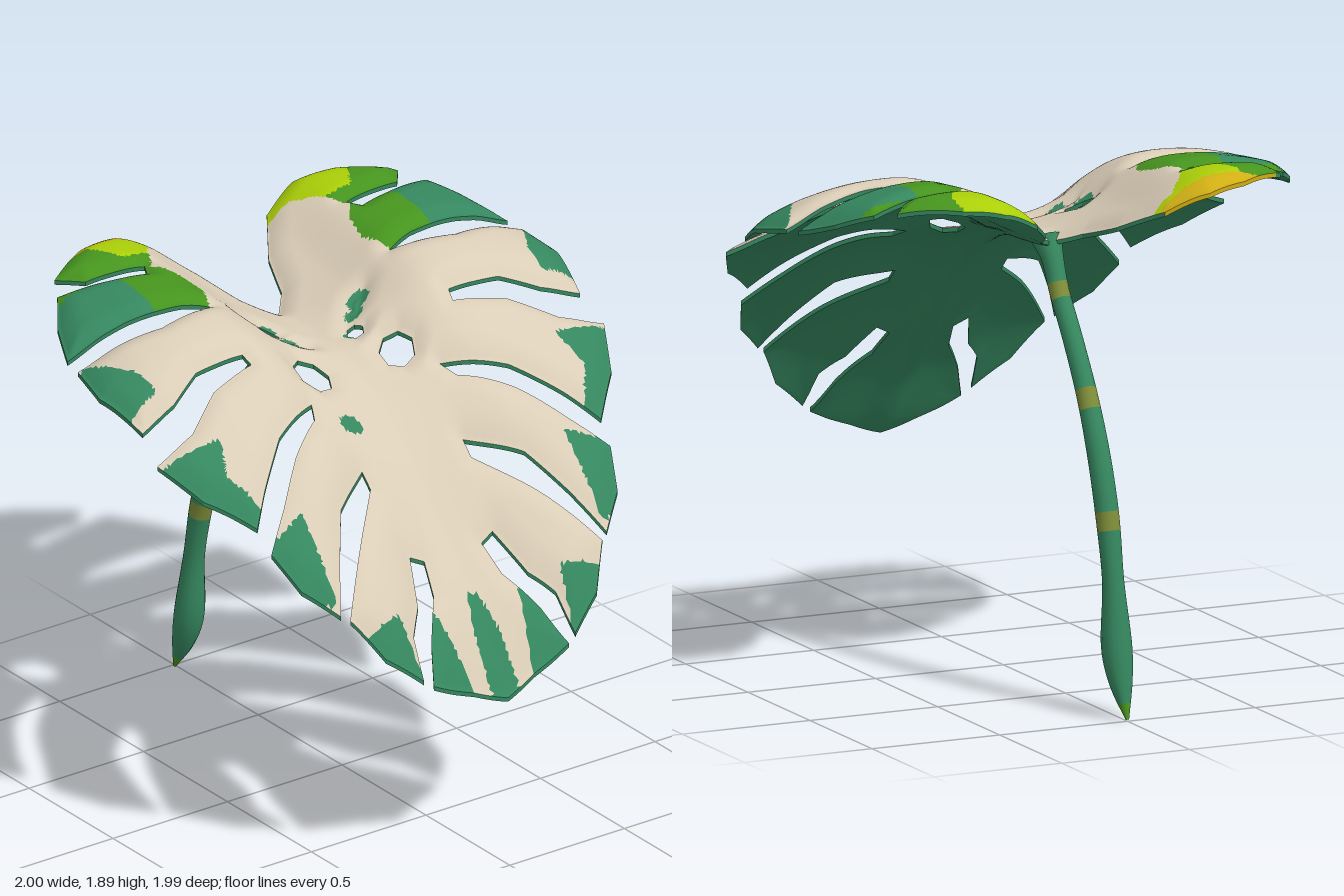
import * as THREE from 'three';

const mat = (name, color) => {
  const m = new THREE.MeshStandardMaterial({ color });
  m.name = name;
  return m;
};

// Half of the leaf outline in (x, z), from the stem notch round to the tip
const HALF = [
  [0, -0.38], [0.08, -0.47], [0.14, -0.63], [0.25, -0.79], [0.4, -0.845], [0.55, -0.81], [0.75, -0.69], [0.68, -0.6], [0.44, -0.575],
  [0.47, -0.52], [0.61, -0.55], [0.8, -0.605], [0.89, -0.48], [0.96, -0.325], [0.72, -0.31], [0.5, -0.28], [0.39, -0.25],
  [0.45, -0.23], [0.64, -0.2], [0.77, -0.225], [0.97, -0.25], [1, -0.08], [0.955, 0.115], [0.8, 0.09], [0.66, 0.03], [0.45, 0.02],
  [0.44, 0.06], [0.64, 0.11], [0.8, 0.2], [0.975, 0.23], [0.89, 0.39], [0.75, 0.52], [0.66, 0.44], [0.5, 0.31], [0.28, 0.2],
  [0.31, 0.26], [0.48, 0.38], [0.62, 0.5], [0.74, 0.59], [0.69, 0.7], [0.58, 0.785], [0.5, 0.67], [0.4, 0.54], [0.22, 0.42],
  [0.22, 0.47], [0.34, 0.59], [0.45, 0.7], [0.55, 0.8], [0.46, 0.89], [0.33, 0.94], [0.31, 0.85], [0.24, 0.78], [0.18, 0.65],
  [0.125, 0.66], [0.15, 0.75], [0.24, 0.86], [0.295, 0.95], [0.13, 0.965], [0, 0.99],
];
const v2 = ([x, z]) => new THREE.Vector2(x, z);
const ring = (x, z, r, n) => Array.from({ length: n }, (_, i) =>
  new THREE.Vector2(x + r * Math.cos((i / n) * Math.PI * 2), z + r * Math.sin((i / n) * Math.PI * 2)));

const contour = [...HALF, ...HALF.slice(1, -1).reverse().map(([x, z]) => [-x, z])].map(v2);
const holes = [
  ring(-0.18, 0.07, 0.07, 7), ring(0.185, 0.075, 0.065, 7), ring(0.12, -0.085, 0.032, 6),
  [[-0.25, -0.23], [-0.19, -0.235], [-0.15, -0.17], [-0.17, -0.15], [-0.22, -0.18]].map(v2),
  [[-0.21, -0.14], [-0.12, -0.115], [-0.08, -0.085], [-0.13, -0.09]].map(v2),
  [[0.25, -0.21], [0.19, -0.2], [0.13, -0.14], [0.17, -0.145]].map(v2),
];
if (THREE.ShapeUtils.isClockWise(contour)) contour.reverse();
for (const h of holes) if (!THREE.ShapeUtils.isClockWise(h)) h.reverse();
const loops = [contour, ...holes];

// Smooth interpolation of evenly spaced samples
function sample(list, t) {
  const last = list.length - 1;
  const c = Math.min(Math.max(t, 0), last), i = Math.min(Math.floor(c), last - 1), f = c - i;
  const at = (k) => list[Math.min(Math.max(k, 0), last)];
  const m0 = (at(i + 1) - at(i - 1)) / 2, m1 = (at(i + 2) - at(i)) / 2, d = at(i + 1) - at(i);
  return at(i) + f * (m0 + f * (3 * d - 2 * m0 - m1 + f * (m0 + m1 - 2 * d)));
}
const RIB = [1.74, 1.72, 1.67, 1.64, 1.63, 1.61, 1.52, 1.37, 1.16, 0.94, 0.675];
const ARCH = [0.11, 0.22, 0.22, 0.135, 0.14, 0.11];
const ACROSS = [0, 0.35, 0.92, 1, 0.83, 0.48];

function edgeDistance(x, z) {
  let best = 1;
  for (const loop of loops) {
    for (let i = 0; i < loop.length; i++) {
      const a = loop[i], b = loop[(i + 1) % loop.length];
      const dx = b.x - a.x, dz = b.y - a.y;
      const t = Math.min(1, Math.max(0, ((x - a.x) * dx + (z - a.y) * dz) / (dx * dx + dz * dz)));
      best = Math.min(best, (x - a.x - t * dx) ** 2 + (z - a.y - t * dz) ** 2);
    }
  }
  return Math.sqrt(best);
}
// Upper and lower surfaces: arched halves, edges curling down and thinning, thicker midrib
const curl = (x, z) => Math.max(0, 1 - edgeDistance(x, z) / 0.08) ** 2;
const crown = (x, z) => sample(RIB, (z + 1) * 5) + sample(ARCH, (z + 1) * 2.5) * sample(ACROSS, Math.abs(x) * 5);
const topY = (x, z) => crown(x, z) - 0.028 * curl(x, z);
const bottomY = (x, z) => {
  const c = curl(x, z);
  return crown(x, z) - 0.028 * c - 0.016 - (1 - c) * (0.016 + 0.025 * Math.exp(-((x / 0.07) ** 2)));
};

function inside(poly, x, z) {
  let hit = false;
  for (let i = 0, j = poly.length - 1; i < poly.length; j = i++) {
    const [ax, az] = poly[i], [bx, bz] = poly[j];
    if (az > z !== bz > z && x < ((bx - ax) * (z - az)) / (bz - az) + ax) hit = !hit;
  }
  return hit;
}
// Green patches at the lobe tips, mirrored
const TIPS = [
  [[1.02, -0.25], [0.95, -0.23], [0.85, -0.05], [0.84, 0.04], [1.02, 0.07]],
  [[0.97, 0.25], [0.73, 0.27], [0.78, 0.38], [0.7, 0.49], [0.75, 0.56], [1.05, 0.4]],
  [[0.57, 0.54], [0.66, 0.56], [0.76, 0.57], [0.74, 0.7], [0.58, 0.77]],
  [[0.52, 0.85], [0.35, 0.82], [0.32, 0.96], [0.48, 0.94]],
  [[0.19, 0.77], [0.12, 0.99], [0.33, 0.98], [0.26, 0.84]],
  [[-0.06, 1], [-0.05, 0.85], [-0.02, 0.77], [0.02, 0.77], [0.05, 0.85], [0.06, 1]],
];
// Green spots around the small slits: x, z, radius
const SPOTS = [[-0.17, 0.29, 0.042], [-0.2, -0.2, 0.05], [-0.15, -0.11, 0.035], [0.21, -0.19, 0.042], [0.16, -0.15, 0.035], [0.1, -0.08, 0.03]];
const BACK_LOBE = [[0.15, -0.75], [0.3, -0.74], [0.37, -0.66], [0.42, -0.56], [0.9, -0.56], [0.9, -0.9], [0.15, -0.9]];
const LIME_PART = [[0.15, -0.75], [0.38, -0.63], [0.5, -0.63], [0.56, -0.74], [0.53, -0.9], [0.15, -0.9]];
const SECOND_LOBE = [[0.44, -0.56], [0.38, -0.47], [0.35, -0.36], [0.4, -0.24], [0.6, -0.27], [1, -0.3], [1, -0.65], [0.6, -0.57]];

function topColour(x, z) {
  const ax = Math.abs(x);
  if (inside(BACK_LOBE, ax, z)) {
    if (x < 0 && z < -0.765 && ax < 0.62) return 'gold';
    return inside(LIME_PART, ax, z) ? 'lime' : 'leafGreen';
  }
  if (inside(SECOND_LOBE, ax, z)) return ax < 0.6 ? 'leafGreen' : 'green';
  if (SPOTS.some(([sx, sz, r]) => Math.hypot(x - sx, (z - sz) * 1.3) < r)) return 'green';
  return TIPS.some((p) => inside(p, ax, z)) ? 'green' : 'cream';
}
function bottomColour(x, z) {
  if (x > -0.3 || z > -0.62) return 'green';
  return z < -0.68 ? 'lime' : 'leafGreen';
}

// Bisect the longest edge until every edge is short
const STEP = 0.02;
function refine(a, b, c, out) {
  const ab = a.distanceTo(b), bc = b.distanceTo(c), ca = c.distanceTo(a), m = Math.max(ab, bc, ca);
  if (m <= STEP) {
    out.push([a, b, c]);
    return;
  }
  const [p, q, r] = m === ab ? [a, b, c] : m === bc ? [b, c, a] : [c, a, b];
  const mid = p.clone().add(q).multiplyScalar(0.5);
  refine(p, mid, r, out);
  refine(mid, q, r, out);
}

function buildMesh(name, material, positions, { normals, index }) {
  const g = new THREE.BufferGeometry();
  g.setAttribute('position', new THREE.Float32BufferAttribute(positions, 3));
  if (index) g.setIndex(index);
  if (normals) g.setAttribute('normal', new THREE.Float32BufferAttribute(normals, 3));
  else g.computeVertexNormals();
  const mesh = new THREE.Mesh(g, material);
  mesh.name = name;
  return mesh;
}

// One leaf surface, split into a mesh per colour
function leafSurface(name, tris, height, colourAt, up, mats) {
  const parts = {}, e = 0.012;
  for (const t of tris) {
    const key = colourAt((t[0].x + t[1].x + t[2].x) / 3, (t[0].y + t[1].y + t[2].y) / 3);
    const part = (parts[key] ??= { pos: [], nor: [] });
    for (const p of up ? t : [t[0], t[2], t[1]]) {
      const { x, y: z } = p;
      const n = new THREE.Vector3(height(x - e, z) - height(x + e, z), 2 * e, height(x, z - e) - height(x, z + e));
      n.normalize().multiplyScalar(up ? 1 : -1);
      part.pos.push(x, height(x, z), z);
      part.nor.push(n.x, n.y, n.z);
    }
  }
  return Object.entries(parts).map(([k, p]) => buildMesh(`${name} ${k}`, mats[k], p.pos, { normals: p.nor }));
}

// Thin rim that closes the outline and the holes
function leafRim(mats) {
  const parts = { green: [], gold: [] };
  const wall = (a, b) => {
    if (a.distanceTo(b) > STEP) {
      const mid = a.clone().add(b).multiplyScalar(0.5);
      wall(a, mid);
      return wall(mid, b);
    }
    const [at, bt] = [a, b].map((p) => [p.x, topY(p.x, p.y), p.y]);
    const [ab, bb] = [a, b].map((p) => [p.x, bottomY(p.x, p.y), p.y]);
    const part = a.x < -0.25 && a.y < -0.7 ? parts.gold : parts.green;
    part.push(...at, ...bt, ...ab, ...bt, ...bb, ...ab);
  };
  for (const loop of loops) loop.forEach((p, i) => wall(p, loop[(i + 1) % loop.length]));
  return Object.entries(parts).map(([k, pos]) => buildMesh(`leafRim ${k}`, mats[k], pos, {}));
}

// Stem path: each point holds (radius, y, z)
const STEM = new THREE.CatmullRomCurve3([
  [0.055, 1.61, -0.34], [0.04, 1.55, -0.385], [0.036, 1.45, -0.435], [0.036, 1.29, -0.55], [0.038, 1.1, -0.67], [0.041, 0.91, -0.76],
  [0.042, 0.7, -0.83], [0.039, 0.48, -0.875], [0.055, 0.24, -0.905], [0.04, 0.12, -0.94], [0.006, 0.004, -0.99],
].map((p) => new THREE.Vector3(...p)));

function stemPart(name, t0, t1, material) {
  const rows = Math.max(2, Math.round((t1 - t0) * 60)), sides = 14;
  const pos = [], index = [];
  for (let i = 0; i <= rows; i++) {
    const t = t0 + ((t1 - t0) * i) / rows, p = STEM.getPoint(t), d = STEM.getTangent(t);
    const len = Math.hypot(d.y, d.z);
    for (let j = 0; j < sides; j++) {
      const a = (j / sides) * Math.PI * 2, s = p.x * Math.sin(a);
      pos.push(-0.005 + p.x * Math.cos(a), Math.max(0, p.y - (s * d.z) / len), p.z + (s * d.y) / len);
      if (i === rows) continue;
      const k = i * sides + j, l = i * sides + ((j + 1) % sides);
      index.push(k, k + sides, l, l, k + sides, l + sides);
    }
  }
  return buildMesh(name, material, pos, { index });
}

export function createModel() {
  const mats = {
    cream: mat('cream', 0xdacdb7), green: mat('green', 0x35875f), leafGreen: mat('leafGreen', 0x46941e),
    lime: mat('lime', 0xabcf08), gold: mat('gold', 0xcfae14), olive: mat('olive', 0x7c8c38),
  };
  const model = new THREE.Group();
  model.name = 'splitLeafPlant';

  const leaf = new THREE.Group();
  leaf.name = 'leaf';
  const points = loops.flat(), tris = [];
  for (const f of THREE.ShapeUtils.triangulateShape(contour, holes)) {
    const [a, b, c] = f.map((i) => points[i]);
    const up = (b.y - a.y) * (c.x - a.x) - (b.x - a.x) * (c.y - a.y) > 0;
    if (up) refine(a, b, c, tris);
    else refine(a, c, b, tris);
  }
  leaf.add(...leafSurface('leafTop', tris, topY, topColour, true, mats));
  leaf.add(...leafSurface('leafUnderside', tris, bottomY, bottomColour, false, mats), ...leafRim(mats));

  // Stem with three olive joints and a lighter tip
  const stem = new THREE.Group();
  stem.name = 'stem';
  const cuts = [0, 0.185, 0.225, 0.385, 0.42, 0.59, 0.62, 0.955, 1];
  for (let i = 0; i < cuts.length - 1; i++) {
    const tip = i === cuts.length - 2;
    const m = tip ? mats.leafGreen : i % 2 ? mats.olive : mats.green;
    stem.add(stemPart(tip ? 'stemTip' : i % 2 ? 'stemJoint' : 'stemSection', cuts[i], cuts[i + 1], m));
  }
  model.add(leaf, stem);
  return model;
}
